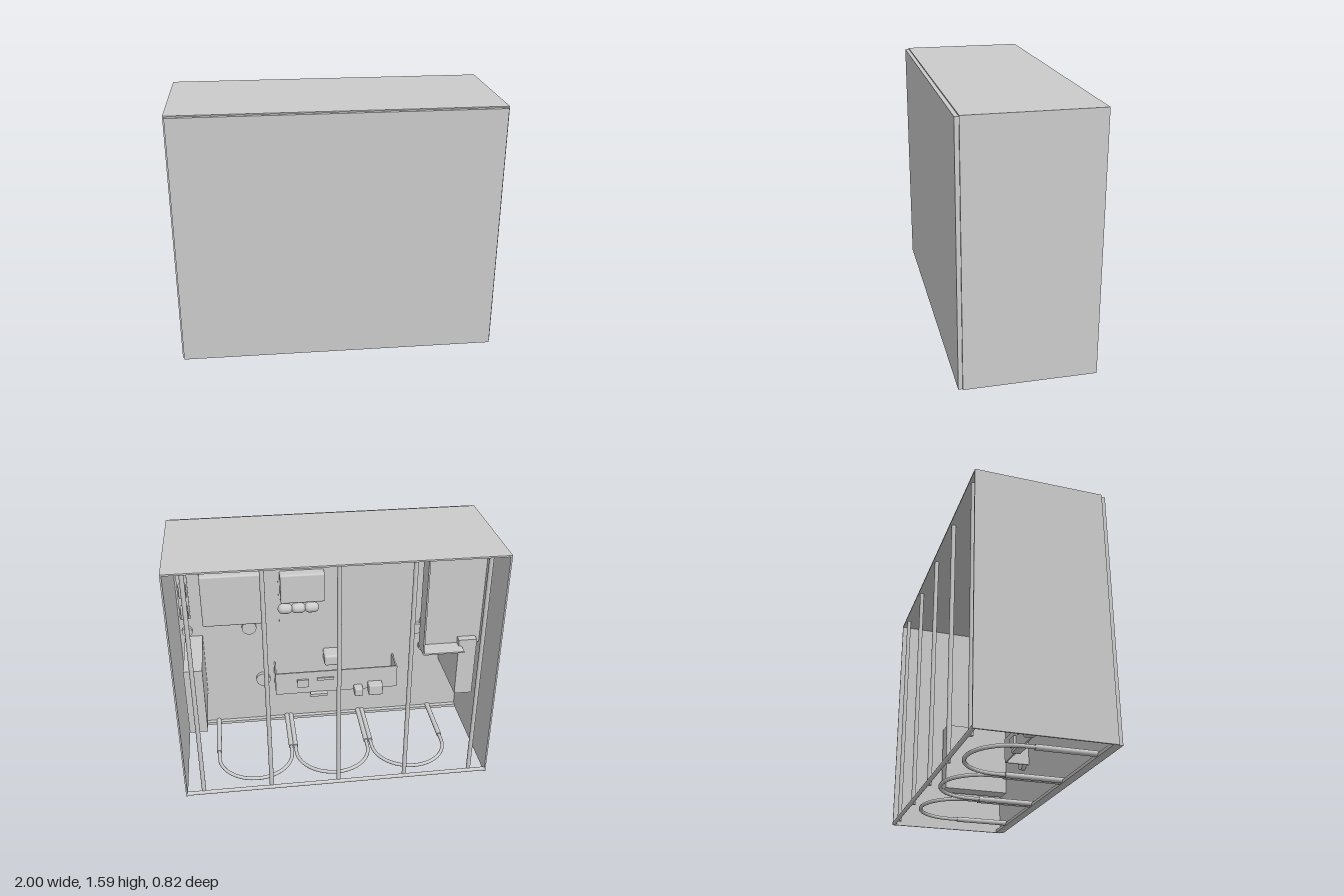
import * as THREE from 'three';
import { RoundedBoxGeometry } from 'three/addons/geometries/RoundedBoxGeometry.js';

export function createModel() {
  const root = new THREE.Group();
  const mat = new THREE.MeshStandardMaterial({ color: 0xcccccc });

  const add = (name, geo, parent = root) => {
    const mesh = new THREE.Mesh(geo, mat);
    mesh.name = name;
    parent.add(mesh);
    return mesh;
  };
  const group = (name) => {
    const g = new THREE.Group();
    g.name = name;
    root.add(g);
    return g;
  };
  // Box given by its extents on each axis; optional rounded edges
  const box = (name, [x0, x1], [y0, y1], [z0, z1], parent, r = 0) => {
    const s = [x1 - x0, y1 - y0, z1 - z0];
    const geo = r ? new RoundedBoxGeometry(...s, 3, r) : new THREE.BoxGeometry(...s);
    geo.translate((x0 + x1) / 2, (y0 + y1) / 2, (z0 + z1) / 2);
    return add(name, geo, parent);
  };
  // Round bar along one axis, centred on a point
  const bar = (name, axis, r, length, [x, y, z], parent) => {
    const geo = new THREE.CylinderGeometry(r, r, length, 20);
    if (axis === 'x') geo.rotateZ(Math.PI / 2);
    if (axis === 'z') geo.rotateX(Math.PI / 2);
    geo.translate(x, y, z);
    return add(name, geo, parent);
  };

  // Cabinet shell, open at the back and underneath
  const shell = group('cabinetShell');
  box('frontPanel', [-0.99, 0.99], [0, 1.585], [0.385, 0.41], shell);
  box('topPanel', [-1, 1], [1.582, 1.592], [-0.41, 0.385], shell);
  for (const s of [-1, 1]) {
    const xs = [s * 0.99, s].sort((a, b) => a - b);
    box(s > 0 ? 'leftWall' : 'rightWall', xs, [0, 1.582], [-0.41, 0.385], shell);
  }
  box('frontBottomRail', [-0.99, 0.99], [0, 0.02], [0.355, 0.385], shell);

  // Rear guard: upright rods on a bottom rail
  const guard = group('rearGuard');
  for (let i = -2; i <= 2; i++) bar('guardRod', 'y', 0.014, 1.575, [i * 0.442, 0.79, -0.385], guard);
  bar('bottomRail', 'x', 0.013, 1.98, [0, 0.014, -0.398], guard);

  // Three floor hoops with thicker sleeves on the straight legs
  const hoops = group('floorHoops');
  for (const cx of [-0.53, 0, 0.53]) {
    const r = 0.25, zc = -0.06, path = new THREE.CurvePath();
    const p = (x, z) => new THREE.Vector3(cx + x, 0.02, z);
    const arc = [];
    for (let i = 0; i <= 16; i++) {
      const a = (i / 16) * Math.PI;
      arc.push(p(-r * Math.cos(a), zc - r * Math.sin(a)));
    }
    path.add(new THREE.LineCurve3(p(-r, 0.37), arc[0]));
    path.add(new THREE.CatmullRomCurve3(arc));
    path.add(new THREE.LineCurve3(arc[16], p(r, 0.37)));
    add('hoop', new THREE.TubeGeometry(path, 80, 0.012, 10), hoops);
    for (const s of [-1, 1]) bar('hoopSleeve', 'z', 0.017, 0.38, [cx + s * r, 0.02, 0.19], hoops);
  }

  // Deep boxes beside the two walls
  box('leftEquipmentBox', [0.84, 0.96], [0.26, 0.74], [-0.07, 0.385]);
  box('rightEquipmentBox', [-0.96, -0.84], [0.42, 0.84], [-0.07, 0.385]);

  // Tray by the right wall, open to the back
  const tray = group('sideTray');
  box('trayBase', [-0.99, -0.588], [0.79, 1.52], [-0.02, -0.01], tray);
  box('traySide', [-0.594, -0.584], [0.79, 1.52], [-0.14, -0.01], tray);
  box('trayBottom', [-0.86, -0.588], [0.785, 0.795], [-0.14, -0.01], tray);

  // Control units on the inside of the front panel
  const controls = group('controlUnits');
  box('backingPlate', [-0.39, 0.31], [0.74, 1.26], [0.377, 0.386], controls);
  box('upperUnit', [0, 0.3], [0.99, 1.2], [0.3, 0.386], controls, 0.012);
  box('largeUnit', [0.43, 0.83], [0.85, 1.22], [0.3, 0.386], controls, 0.012);
  for (const x of [0.09, 0.18, 0.27]) {
    const capsule = add('capsule', new THREE.CapsuleGeometry(0.036, 0.03, 6, 16), controls);
    capsule.rotation.z = Math.PI / 2;
    capsule.position.set(x, 0.94, 0.33);
  }
  box('switchStrip', [0.91, 0.98], [0.88, 1.22], [0.375, 0.386], controls);
  for (const y of [0.94, 1.1]) box('switch', [0.92, 0.97], [y - 0.05, y + 0.05], [0.345, 0.38], controls, 0.01);

  // Round fittings on the front panel: x, y, radius
  const fittings = group('roundFittings');
  for (const [x, y, r] of [
    [0.94, 0.79, 0.035], [0.52, 0.79, 0.05], [0.3, 1.34, 0.06], [0.44, 0.36, 0.05], [-0.43, 0.32, 0.055],
    [-0.66, 0.7, 0.04], [-0.72, 0.75, 0.04], [-0.85, 0.68, 0.04], [-0.72, 0.55, 0.04], [-0.79, 0.55, 0.04],
  ]) bar('roundFitting', 'z', r, 0.03, [x, y, 0.372], fittings);

  // U-shaped mounting bracket with small modules
  const bracket = group('mountingBracket');
  box('bracketPlate', [-0.5, 0.36], [0.32, 0.49], [0.215, 0.225], bracket);
  for (const x of [-0.5, 0.35]) box('bracketFlange', [x, x + 0.01], [0.32, 0.49], [0.225, 0.385], bracket);
  box('bracketModule', [0.13, 0.21], [0.375, 0.435], [0.2, 0.22], bracket);
  box('bracketSlot', [-0.05, 0.07], [0.42, 0.44], [0.205, 0.22], bracket);
  box('lowerModule', [0, 0.12], [0.305, 0.325], [0.18, 0.24], bracket);
  box('smallModule', [-0.25, -0.19], [0.3, 0.36], [0.15, 0.22], bracket, 0.008);
  box('largeModule', [-0.39, -0.29], [0.3, 0.38], [0.15, 0.22], bracket, 0.008);
  box('roundedModule', [-0.1, 0.01], [0.5, 0.58], [0.26, 0.386], bracket, 0.015);

  return root;
}
